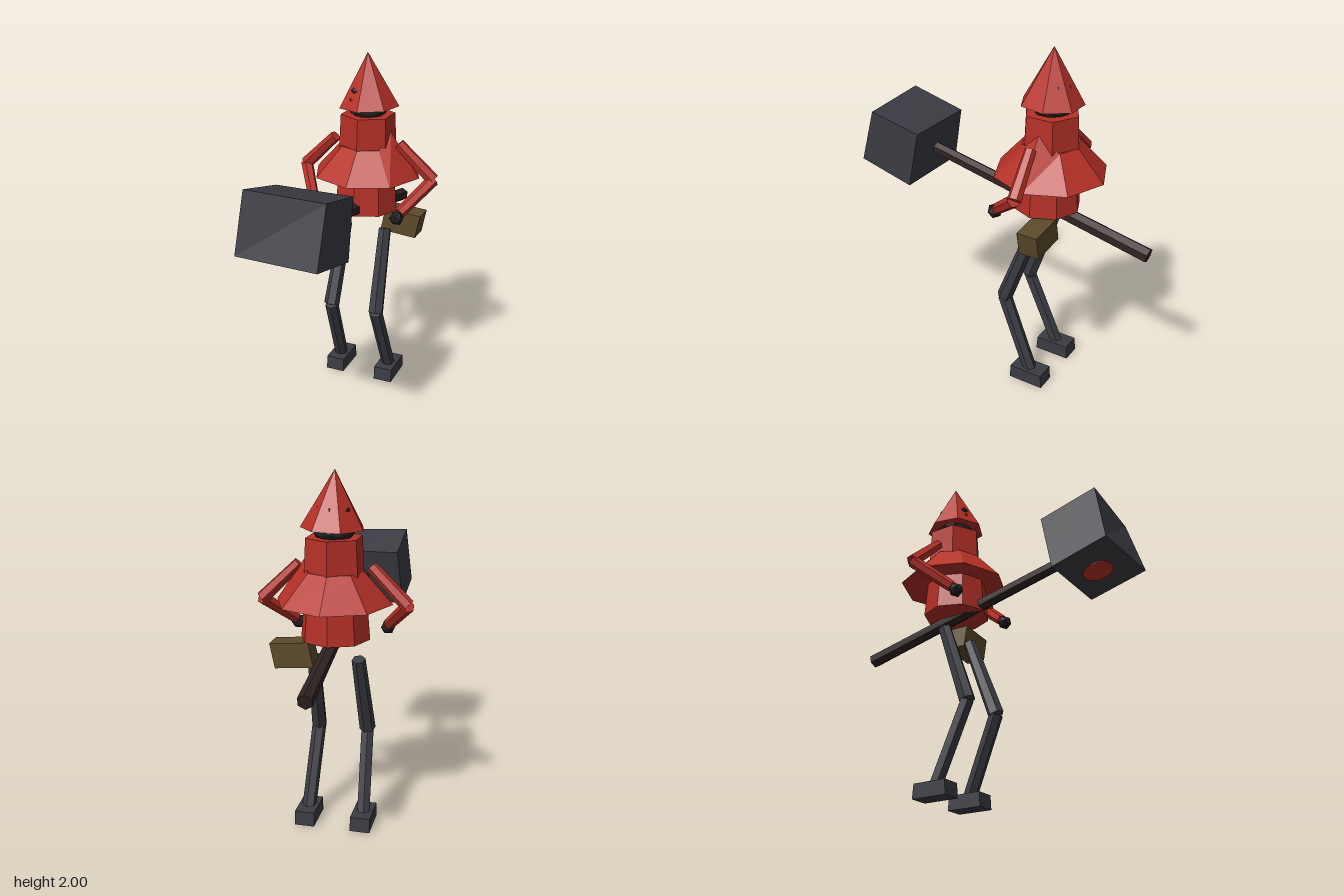
import * as THREE from 'three';

export function createModel() {
  const model = new THREE.Group();
  const mat = (name, color) => {
    const m = new THREE.MeshStandardMaterial({ color, flatShading: true });
    m.name = name;
    return m;
  };
  const red = mat('red cloth', 0xb53026);
  const grey = mat('dark grey', 0x3b3c43);
  const brown = mat('dark brown wood', 0x302222);
  const olive = mat('olive leather', 0x5c4a2a);
  const black = mat('near black', 0x222224);
  const bodyZ = -0.265;

  const add = (name, geometry, material, x = 0, y = 0, z = 0) => {
    const mesh = new THREE.Mesh(geometry, material);
    mesh.name = name;
    mesh.position.set(x, y, z);
    model.add(mesh);
    return mesh;
  };

  // Six-sided bar between two points
  const up = new THREE.Vector3(0, 1, 0);
  const bar = (name, a, b, r0, r1, material) => {
    const from = new THREE.Vector3(...a), to = new THREE.Vector3(...b);
    const dir = to.clone().sub(from);
    const mid = from.add(to).multiplyScalar(0.5);
    const mesh = add(name, new THREE.CylinderGeometry(r1, r0, dir.length(), 6), material, mid.x, mid.y, mid.z);
    mesh.quaternion.setFromUnitVectors(up, dir.normalize());
  };

  // Move box corners with a rule that gets the sign of each axis
  const skewBox = (rule) => {
    const g = new THREE.BoxGeometry(2, 2, 2);
    const p = g.attributes.position;
    for (let i = 0; i < p.count; i++) p.setXYZ(i, ...rule(p.getX(i), p.getY(i), p.getZ(i)));
    g.computeVertexNormals();
    return g;
  };

  // Pointed seven-sided hood, tipped slightly to one side
  const hood = add('hood', new THREE.ConeGeometry(0.172, 0.3, 7), red, 0, 1.85, bodyZ);
  hood.rotation.z = 0.03;

  // Head showing under the hood
  const head = add('head', new THREE.IcosahedronGeometry(0.112, 1), black, 0, 1.685, bodyZ);
  head.scale.y = 0.5;

  // Small dark gems around the hood and one red dot
  const gem = (name, x, y, z, size, material) => {
    const m = add(name, new THREE.OctahedronGeometry(size), material, x, y, z);
    m.scale.set(1, 0.8, 0.35);
    m.rotation.y = Math.atan2(x, z - bodyZ);
  };
  gem('hoodGemBack', 0, 1.8, -0.362, 0.022, black);
  gem('hoodGemBackLeft', 0.068, 1.8, -0.333, 0.028, black);
  gem('hoodGemBackRight', -0.085, 1.8, -0.315, 0.024, black);
  gem('hoodGemFront', -0.045, 1.8, -0.168, 0.026, black);
  gem('hoodDotFront', -0.055, 1.755, -0.147, 0.014, red);

  // Upper torso, flared cape and lower torso
  add('upperTorso', new THREE.CylinderGeometry(0.155, 0.165, 0.2, 6), red, 0, 1.555, bodyZ);
  const cape = new THREE.CylinderGeometry(0.16, 0.315, 0.17, 8);
  const cp = cape.attributes.position;
  for (let i = 0; i < cp.count; i++) {
    if (cp.getY(i) > 0 && cp.getX(i) > 0.14) cp.setXYZ(i, 0.14, 0.17, cp.getZ(i)); // raised shoulder
  }
  cape.computeVertexNormals();
  add('cape', cape, red, 0, 1.395, bodyZ);
  add('lowerTorso', new THREE.CylinderGeometry(0.17, 0.19, 0.25, 8), red, 0, 1.23, -0.245);

  // Arms and legs, mirrored
  for (const s of [1, -1]) {
    const side = s > 0 ? 'left' : 'right';
    const elbow = [s * 0.395, 1.31, -0.275], hand = [s * 0.255, 1.13, -0.07];
    bar(side + 'UpperArm', [s * 0.195, 1.505, -0.25], elbow, 0.032, 0.038, red);
    bar(side + 'Forearm', elbow, [s * 0.265, 1.155, -0.095], 0.036, 0.032, red);
    add(side + 'Hand', new THREE.IcosahedronGeometry(0.042, 0), black, ...hand);

    const knee = [s * 0.143, 0.515, -0.062];
    bar(side + 'Thigh', [s * 0.125, 0.985, -0.235], knee, 0.038, 0.046, grey);
    bar(side + 'Shin', knee, [s * 0.16, 0.06, -0.25], 0.04, 0.04, grey);
    add(side + 'Foot', skewBox((x, y, z) =>
      [s * 0.16 + x * 0.056, y > 0 ? 0.085 : 0.003, -0.247 + z * (y > 0 ? 0.1 : 0.106)]), grey);
  }

  // Long hammer handle through the waist
  bar('hammerHandle', [0, 0.967, -0.86], [0, 1.27, 0.5], 0.042, 0.035, brown);

  // Tilted, slightly uneven hammer head
  add('hammerHead', skewBox((x, y, z) => {
    if (y > 0) return z > 0
      ? [x > 0 ? 0.22 : -0.21, x > 0 ? 1.505 : 1.52, x > 0 ? 0.765 : 0.785]
      : [x > 0 ? 0.22 : -0.21, 1.435, 0.455];
    return z > 0
      ? [x > 0 ? 0.215 : -0.24, 1.19, x > 0 ? 0.865 : 0.845]
      : [x > 0 ? 0.225 : -0.235, 1.108, 0.525];
  }), grey);

  // Red disc under the hammer head
  const disc = add('hammerDisc', new THREE.CylinderGeometry(0.085, 0.085, 0.009, 16), red, 0, 1.145, 0.68);
  disc.rotation.x = -0.242;

  // Hip pouch
  const pouch = add('hipPouch', skewBox((x, y, z) =>
    [x * 0.107 + y * 0.003, y * 0.07 + x * 0.008, z * 0.06]), olive, 0.212, 1.025, -0.312);
  pouch.rotation.z = -0.16;

  return model;
}
